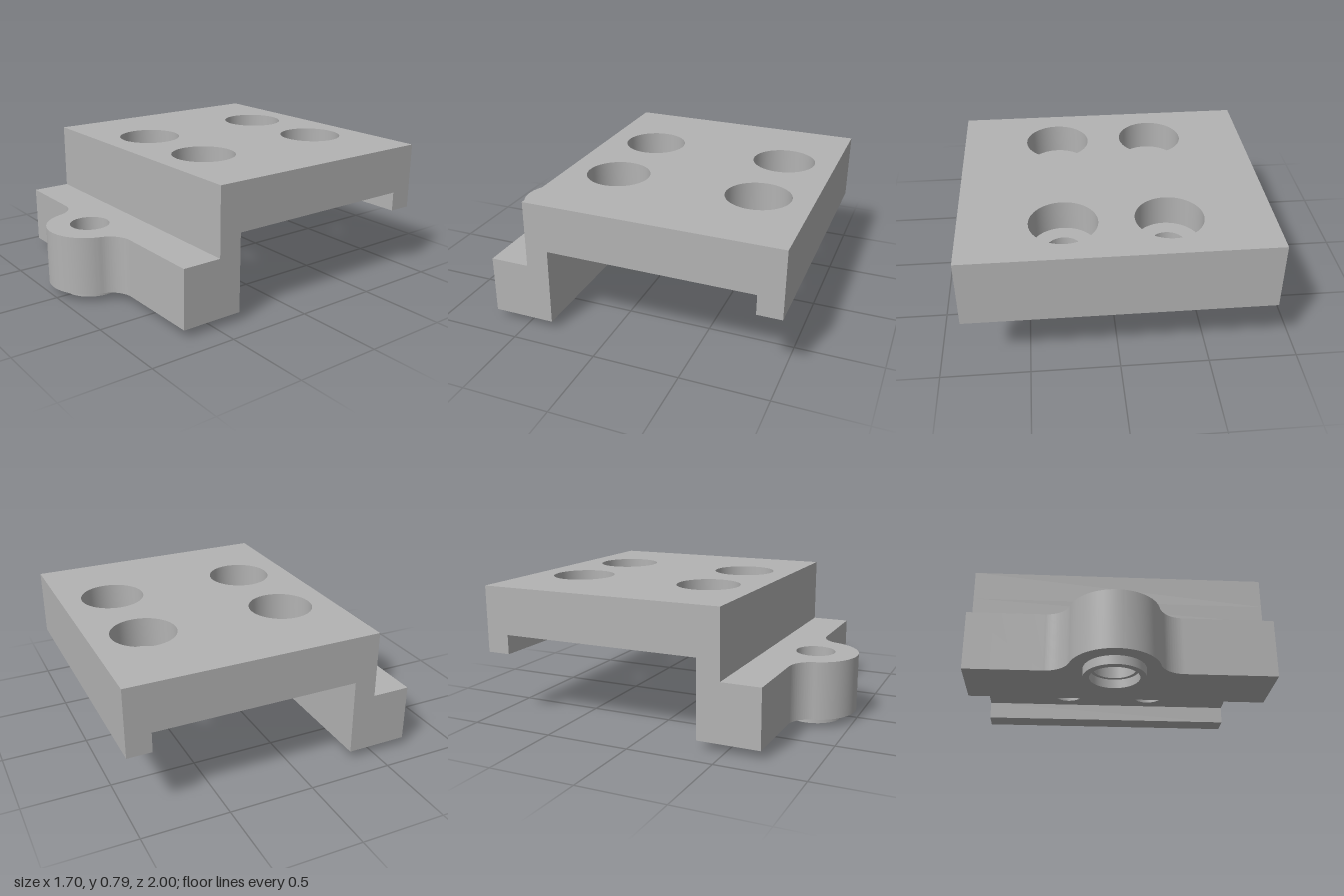
import * as THREE from 'three';
import { toCreasedNormals } from 'three/addons/utils/BufferGeometryUtils.js';

// Plan coordinates are (x, z); shapes use y = -z so that extrusion rises along +y.
const W = 0.85;
const LUG = { x: -0.04, z: 0.745, r: 0.25 };

function createMaterial() {
  const m = new THREE.MeshStandardMaterial({ color: 0xb3b3b3 });
  m.name = 'grey metal';
  return m;
}

function circlePath(x, z, r) {
  return new THREE.Path().absarc(x, -z, r, 0, Math.PI * 2, true);
}

function rectShape(z0, z1) {
  const s = new THREE.Shape();
  s.moveTo(-W, -z1);
  s.lineTo(W, -z1);
  s.lineTo(W, -z0);
  s.lineTo(-W, -z0);
  s.closePath();
  return s;
}

// Foot outline with a round lug blended in by two fillets
function footShape(z0, z1) {
  const reach = 0.38, fillet = 0.144;
  const cz = z1 + fillet;
  const a = Math.atan2(cz - LUG.z, reach);
  const s = new THREE.Shape();
  s.moveTo(-W, -z0);
  s.lineTo(-W, -z1);
  s.lineTo(LUG.x - reach, -z1);
  s.absarc(LUG.x - reach, -cz, fillet, Math.PI / 2, a, true);
  s.absarc(LUG.x, -LUG.z, LUG.r, Math.PI + a, Math.PI * 2 - a, false);
  s.absarc(LUG.x + reach, -cz, fillet, Math.PI - a, Math.PI / 2, true);
  s.lineTo(W, -z1);
  s.lineTo(W, -z0);
  s.closePath();
  return s;
}

export function createModel() {
  const group = new THREE.Group();
  group.name = 'mountingBracket';
  const material = createMaterial();

  function layer(name, shape, y0, y1, holes = []) {
    shape.holes.push(...holes);
    const geo = new THREE.ExtrudeGeometry(shape, { depth: y1 - y0, bevelEnabled: false, curveSegments: 32 });
    geo.rotateX(-Math.PI / 2);
    geo.translate(0, y0, 0);
    const mesh = new THREE.Mesh(toCreasedNormals(geo, Math.PI / 6), material);
    mesh.name = name;
    group.add(mesh);
  }

  const boltHoles = (r) => [-0.69, 0.16].flatMap((z) => [-0.285, 0.285].map((x) => circlePath(x, z, r)));

  // Main plate: wide counterbores above narrow through holes
  layer('plateTop', rectShape(-1, 0.475), 0.61, 0.785, boltHoles(0.187));
  layer('plateBottom', rectShape(-1, 0.475), 0.505, 0.61, boltHoles(0.098));

  // Rear lip and front riser under the plate
  layer('rearLip', rectShape(-1, -0.86), 0.39, 0.505);
  layer('frontRiser', rectShape(0.34, 0.475), 0.39, 0.505);

  // Front foot with its lug
  layer('frontFoot', footShape(0.34, 0.705), 0.05, 0.39, [circlePath(LUG.x, LUG.z, 0.115)]);

  // Raised ring under the lug
  const ring = new THREE.Shape().absarc(LUG.x, -LUG.z, 0.17, 0, Math.PI * 2, false);
  layer('lugRing', ring, 0, 0.05, [circlePath(LUG.x, LUG.z, 0.135)]);

  return group;
}
